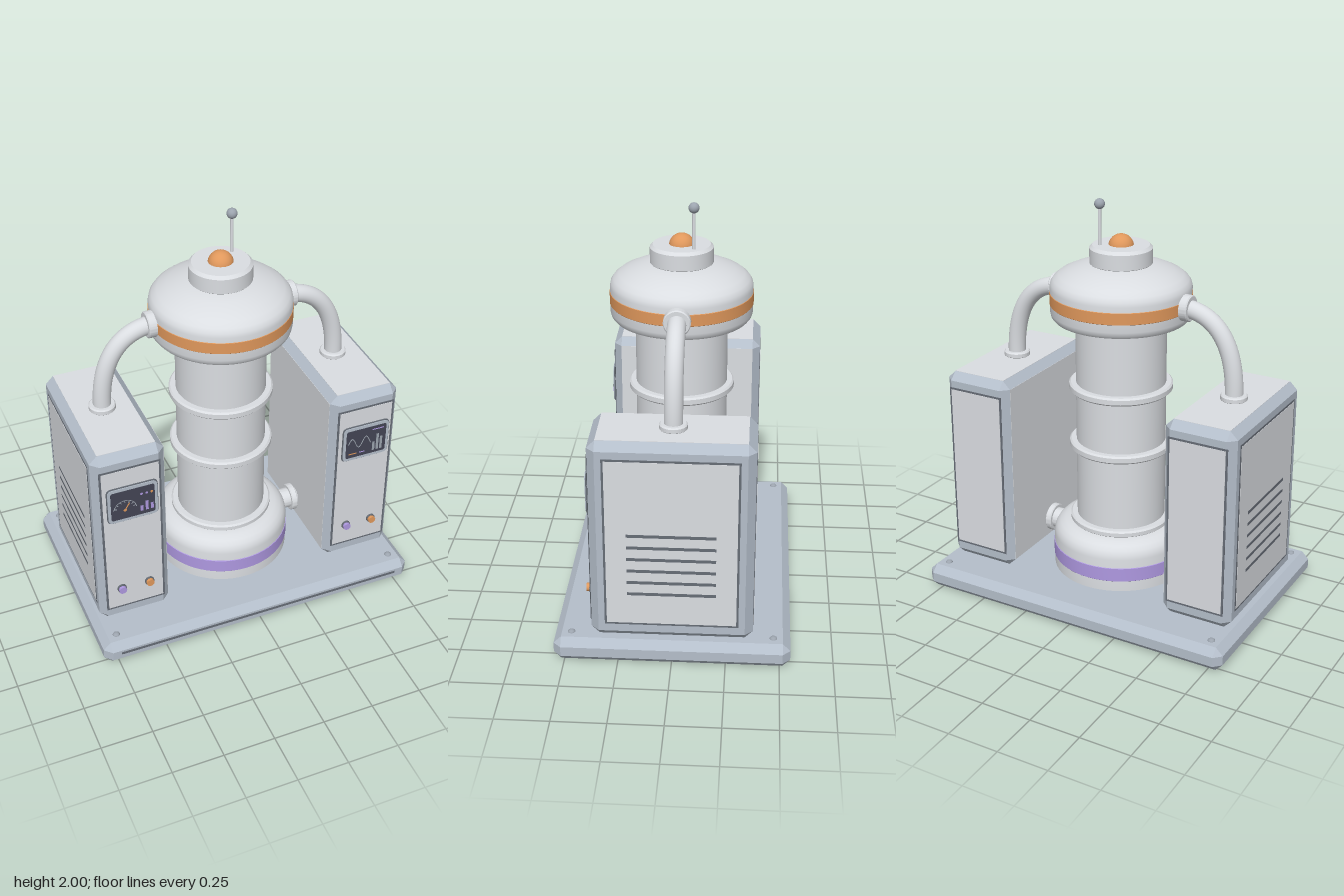
import * as THREE from 'three';
import { toCreasedNormals } from 'three/addons/utils/BufferGeometryUtils.js';
import { ConvexGeometry } from 'three/addons/geometries/ConvexGeometry.js';

const paint = (name, color) => Object.assign(new THREE.MeshStandardMaterial({ color }), { name });
const M = {
  light: paint('lightGrey', 0xdadde1),
  steel: paint('blueGrey', 0xb4beca),
  trim: paint('darkTrim', 0x676d76),
  screen: paint('screenDark', 0x434554),
  orange: paint('orange', 0xe0985c),
  purple: paint('purple', 0xae98e0),
  metal: paint('metalGrey', 0x9ca4ae),
};

function add(parent, name, geometry, material, x = 0, y = 0, z = 0) {
  const mesh = new THREE.Mesh(geometry, material);
  mesh.name = name;
  mesh.position.set(x, y, z);
  parent.add(mesh);
  return mesh;
}
function group(parent, name, x = 0, y = 0, z = 0) {
  const g = new THREE.Group();
  g.name = name;
  g.position.set(x, y, z);
  parent.add(g);
  return g;
}
const box = (w, h, d) => new THREE.BoxGeometry(w, h, d);
const cyl = (r, h, n = 32) => new THREE.CylinderGeometry(r, r, h, n);
const lathe = (pts) => toCreasedNormals(
  new THREE.LatheGeometry(pts.map(([r, y]) => new THREE.Vector2(r, y)), 64), 0.55);
// Short drum with softened rims
const drum = (r, y0, y1, b = 0.008) => lathe([[0, y0], [r - b, y0], [r, y0 + b], [r, y1 - b], [r - b, y1], [0, y1]]);

// Box with every edge and corner cut at an angle
function chamferBox(w, h, d, c) {
  const pts = [];
  for (const i of [-1, 1]) for (const j of [-1, 1]) for (const k of [-1, 1]) {
    for (const [a, b, e] of [[0, c, c], [c, 0, c], [c, c, 0]]) {
      pts.push(new THREE.Vector3(i * (w / 2 - a), j * (h / 2 - b), k * (d / 2 - e)));
    }
  }
  return new ConvexGeometry(pts);
}

// Rounded plate facing +z
function roundedPlate(w, h, r, depth) {
  const s = new THREE.Shape(), x = w / 2, y = h / 2;
  s.moveTo(-x + r, -y);
  s.lineTo(x - r, -y); s.quadraticCurveTo(x, -y, x, -y + r);
  s.lineTo(x, y - r); s.quadraticCurveTo(x, y, x - r, y);
  s.lineTo(-x + r, y); s.quadraticCurveTo(-x, y, -x, y - r);
  s.lineTo(-x, -y + r); s.quadraticCurveTo(-x, -y, -x + r, -y);
  return new THREE.ExtrudeGeometry(s, { depth, bevelEnabled: false, curveSegments: 5 });
}

// Light panel with a dark outline, facing +z
function panel(parent, name, w, h) {
  const g = group(parent, name);
  add(g, 'panelOutline', box(w, h, 0.003), M.trim);
  add(g, 'panelFace', box(w - 0.02, h - 0.02, 0.006), M.light);
  return g;
}

// Instrument screen: one has a dial, the other a wave
function display(parent, isDial) {
  const g = group(parent, 'display', 0.004, 0.844, 0.376);
  add(g, 'bezelRim', roundedPlate(0.25, 0.202, 0.028, 0.008), M.trim);
  add(g, 'bezel', roundedPlate(0.242, 0.194, 0.025, 0.012), M.steel);
  add(g, 'screen', roundedPlate(0.214, 0.162, 0.012, 0.014), M.screen);
  const mark = (name, w, h, mat, x, y) => add(g, name, box(w, h, 0.002), mat, x, y, 0.0145);
  if (isDial) {
    add(g, 'dialArc', new THREE.RingGeometry(0.054, 0.058, 24, 1, 0.1, Math.PI - 0.2), M.metal, -0.04, -0.03, 0.0155);
    for (let i = 0; i < 7; i++) {
      const a = 0.3 + i * 0.42;
      mark('dialTick', 0.012, 0.003, M.metal, -0.04 + 0.048 * Math.cos(a), -0.03 + 0.048 * Math.sin(a)).rotation.z = a;
    }
    mark('needle', 0.05, 0.005, M.orange, -0.03, -0.014).rotation.z = 1;
    add(g, 'needleHub', new THREE.CircleGeometry(0.008, 16), M.orange, -0.04, -0.03, 0.016);
    [0.03, 0.052, 0.034].forEach((h, i) => mark('bar', 0.014, h, M.purple, 0.042 + i * 0.025, -0.06 + h / 2));
    [M.purple, M.purple, M.orange].forEach((m, i) =>
      add(g, 'statusDot', new THREE.CircleGeometry(0.007, 12), m, 0.042 + i * 0.025, 0.041, 0.0155));
  } else {
    // Wave drawn as a chain of thin strokes
    const wave = (i) => new THREE.Vector2(-0.095 + i * 0.005, 0.004 + 0.028 * Math.sin(i / 24 * Math.PI * 3.2));
    for (let i = 0; i < 24; i++) {
      const a = wave(i), d = wave(i + 1).sub(a);
      mark('waveStroke', d.length() + 0.002, 0.004, M.metal, a.x + d.x / 2, a.y + d.y / 2).rotation.z = d.angle();
    }
    [0.05, 0.095, 0.075].forEach((h, i) => mark('bar', 0.013, h, M.metal, 0.042 + i * 0.02, -0.065 + h / 2));
    mark('headerLine', 0.06, 0.005, M.purple, 0.062, 0.062);
    mark('lowerLineA', 0.045, 0.005, M.orange, -0.07, -0.058);
    mark('lowerLineB', 0.03, 0.005, M.purple, -0.02, -0.058);
  }
}

function cabinet(parent, side) {
  const g = group(parent, side > 0 ? 'leftCabinet' : 'rightCabinet', side * 0.6);
  add(g, 'cabinetBody', chamferBox(0.356, 1.0, 0.75, 0.038), M.steel, 0, 0.62, 0);
  // Plain light faces on top and on the inner side
  add(g, 'topFace', box(0.28, 0.003, 0.674), M.light, 0, 1.12, 0);
  add(g, 'innerFace', box(0.003, 0.924, 0.674), M.light, -side * 0.178, 0.62, 0);
  // Outlined panels
  panel(g, 'frontPanel', 0.298, 0.85).position.set(0, 0.622, 0.375);
  const back = panel(g, 'backPanel', 0.298, 0.85);
  back.position.set(0, 0.622, -0.375);
  back.rotation.y = Math.PI;
  const outer = panel(g, 'outerPanel', 0.615, 0.85);
  outer.position.set(side * 0.178, 0.622, 0);
  outer.rotation.y = side * Math.PI / 2;
  for (let i = 0; i < 6; i++) add(outer, 'ventSlot', box(0.405, 0.015, 0.008), M.trim, 0, 0.045 - i * 0.0605, 0);

  display(g, side < 0);
  // Buttons
  [[-0.07, M.purple], [0.07, M.orange]].forEach(([x, mat]) => {
    add(g, 'buttonCollar', cyl(0.023, 0.012, 24), M.trim, x, 0.322, 0.381).rotation.x = Math.PI / 2;
    add(g, 'button', cyl(0.019, 0.024, 24), mat, x, 0.322, 0.389).rotation.x = Math.PI / 2;
  });
}

// Pipes joining the column to a cabinet
function pipes(parent, side) {
  const g = group(parent, side > 0 ? 'leftPipes' : 'rightPipes');
  const v = (x, y) => new THREE.Vector3(side * x, y, 0);
  const curve = new THREE.CubicBezierCurve3(v(0.6, 1.13), v(0.6, 1.39), v(0.5, 1.525), v(0.32, 1.525));
  add(g, 'upperPipe', new THREE.TubeGeometry(curve, 32, 0.043, 24), M.light);
  add(g, 'pipeFoot', drum(0.064, 1.118, 1.148, 0.006), M.light, side * 0.6, 0, 0);
  const across = (name, r, w, x, y) => {
    add(g, name, drum(r, -w / 2, w / 2, 0.005), M.light, side * x, y, 0).rotation.z = Math.PI / 2;
  };
  across('upperFlange', 0.063, 0.045, 0.35, 1.525);
  across('lowerPipe', 0.052, 0.14, 0.365, 0.255);
  across('lowerFlange', 0.07, 0.032, 0.397, 0.255);
}

export function createModel() {
  const model = new THREE.Group();
  model.name = 'reactorMachine';

  // Base slab with bolts and a front slot
  const base = group(model, 'base');
  add(base, 'baseSlab', chamferBox(1.64, 0.12, 1.1, 0.036), M.steel, 0, 0.06, 0);
  add(base, 'frontSlot', box(1.48, 0.014, 0.004), M.trim, 0, 0.066, 0.549);
  for (const x of [-0.74, 0.74]) for (const z of [-0.47, 0.47]) {
    add(base, 'bolt', new THREE.SphereGeometry(0.018, 16, 8, 0, Math.PI * 2, 0, Math.PI / 2), M.metal, x, 0.118, z).scale.y = 0.7;
  }

  // Central column, from foot to cap
  const column = group(model, 'column');
  add(column, 'foot', lathe([[0, 0.118], [0.336, 0.118], [0.336, 0.29], [0.332, 0.312], [0.322, 0.332],
    [0.305, 0.35], [0.28, 0.363], [0.25, 0.37], [0, 0.37]]), M.light);
  add(column, 'purpleBand', drum(0.339, 0.174, 0.246, 0.002), M.purple);
  add(column, 'tube', cyl(0.219, 1.08, 64), M.light, 0, 0.9, 0);
  for (const [name, y0, y1] of [['lowerCollar', 0.365, 0.4], ['ring', 0.762, 0.802],
    ['ring', 1.062, 1.102], ['upperCollar', 1.402, 1.43]]) {
    add(column, name, drum(0.252, y0, y1), M.light);
  }
  add(column, 'head', lathe([[0, 1.422], [0.3, 1.422], [0.322, 1.428], [0.333, 1.442], [0.337, 1.46], [0.337, 1.58],
    [0.333, 1.6], [0.32, 1.619], [0.295, 1.639], [0.25, 1.66], [0.2, 1.678], [0.145, 1.692], [0, 1.692]]), M.light);
  add(column, 'orangeBand', drum(0.339, 1.497, 1.555, 0.002), M.orange);
  add(column, 'cap', drum(0.149, 1.68, 1.78, 0.014), M.light);
  add(column, 'beacon', new THREE.SphereGeometry(0.06, 32, 12, 0, Math.PI * 2, 0, Math.PI / 2), M.orange, 0, 1.77, 0);

  // Antenna
  const antenna = group(model, 'antenna', 0.08, 0, -0.06);
  add(antenna, 'antennaRod', cyl(0.008, 0.2, 12), M.light, 0, 1.87, 0);
  add(antenna, 'antennaBall', new THREE.SphereGeometry(0.025, 24, 16), M.metal, 0, 1.975, 0);

  for (const side of [-1, 1]) {
    cabinet(model, side);
    pipes(model, side);
  }
  return model;
}
